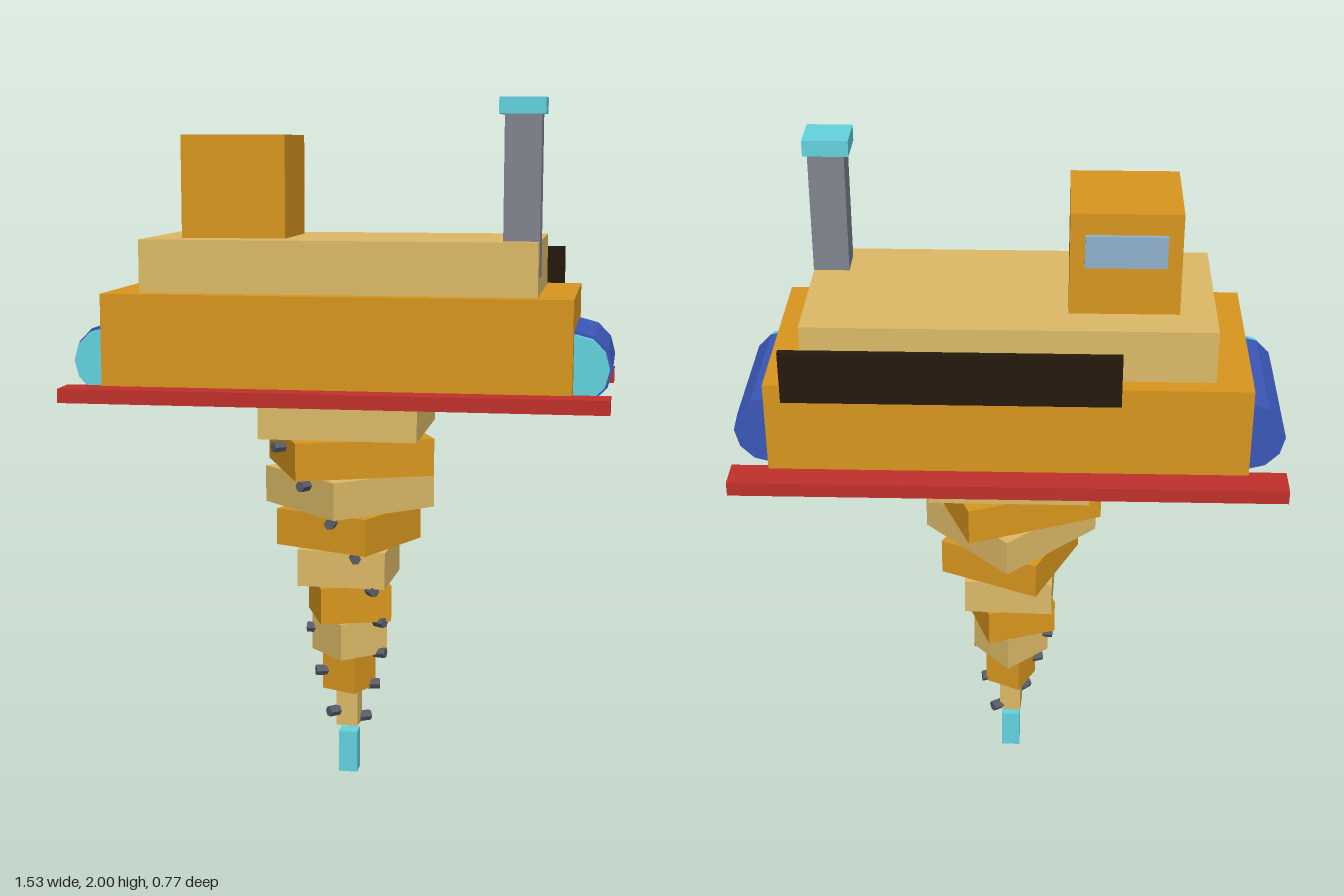
import * as THREE from 'three';

const mat = (color) => new THREE.MeshStandardMaterial({ color, flatShading: true });

export function createModel() {
  const model = new THREE.Group();
  const orange = mat(0xd8961e), tan = mat(0xdcb966), red = mat(0xc0302b);
  const blue = mat(0x3b57b8), cyan = mat(0x62d2de), grey = mat(0x80848e);
  const black = mat(0x24190c), glass = mat(0x8fb0cc), stud = mat(0x5a5c68);

  const add = (name, geometry, material, x, y, z) => {
    const mesh = new THREE.Mesh(geometry, material);
    mesh.name = name;
    mesh.position.set(x, y, z);
    model.add(mesh);
    return mesh;
  };
  // Box given by its low and high limits on each axis
  const box = (name, material, [x0, x1], [y0, y1], [z0, z1]) =>
    add(name, new THREE.BoxGeometry(x1 - x0, y1 - y0, z1 - z0), material,
      (x0 + x1) / 2, (y0 + y1) / 2, (z0 + z1) / 2);

  // Hull, deck and cabin
  box('hull', orange, [-0.66, 0.66], [1.165, 1.46], [-0.305, 0.305]);
  box('deck', tan, [-0.56, 0.56], [1.46, 1.61], [-0.255, 0.255]);
  box('cabin', orange, [-0.46, -0.16], [1.61, 1.9], [-0.15, 0.15]);
  box('cabinWindow', glass, [-0.42, -0.2], [1.75, 1.84], [-0.163, -0.145]);
  box('backPanel', black, [-0.305, 0.61], [1.42, 1.57], [-0.327, -0.309]);

  // Chimney
  box('chimney', grey, [0.46, 0.561], [1.51, 1.955], [0.105, 0.205]);
  box('chimneyCap', cyan, [0.445, 0.572], [1.955, 2], [0.09, 0.217]);

  // Side rails, and the tanks with their front caps
  for (const s of [-1, 1]) {
    box('rail', red, [-0.765, 0.765], [1.16, 1.2], s > 0 ? [0.288, 0.385] : [-0.385, -0.288]);
    add('tank', new THREE.CylinderGeometry(0.103, 0.103, 0.41, 12), blue,
      s * 0.664, 1.263, 0).rotation.x = Math.PI / 2;
    add('tankCap', new THREE.CylinderGeometry(0.095, 0.095, 0.08, 12), cyan,
      s * 0.664, 1.263, 0.198).rotation.x = Math.PI / 2;
  }

  // Drill: shrinking square slabs, each twisted further than the one above
  for (let i = 0; i < 9; i++) {
    const size = 2 * (0.2275 - 0.0244 * i);
    add('drillSlab', new THREE.BoxGeometry(size, 0.108, size), i % 2 ? orange : tan,
      0, 1.1 - 0.1125 * i, 0).rotation.y = THREE.MathUtils.degToRad(22 * i);
  }
  box('drillTip', cyan, [-0.028, 0.028], [0, 0.125], [-0.028, 0.028]);

  // Studs winding down the drill on two spirals
  const addStud = (y, degrees) => {
    const a = THREE.MathUtils.degToRad(degrees), r = 0.0145 + 0.2207 * y;
    const mesh = add('drillStud', new THREE.CylinderGeometry(0.016, 0.016, 0.036, 6), stud,
      r * Math.cos(a), y, r * Math.sin(a));
    mesh.rotation.set(0, -a, Math.PI / 2);
  };
  for (let i = 0; i < 9; i++) addStud(1.013 - 0.1065 * i, 140 - 21.5 * i);
  for (let i = 0; i < 3; i++) addStud(0.437 - 0.122 * i, 184 - 24 * i);

  return model;
}
